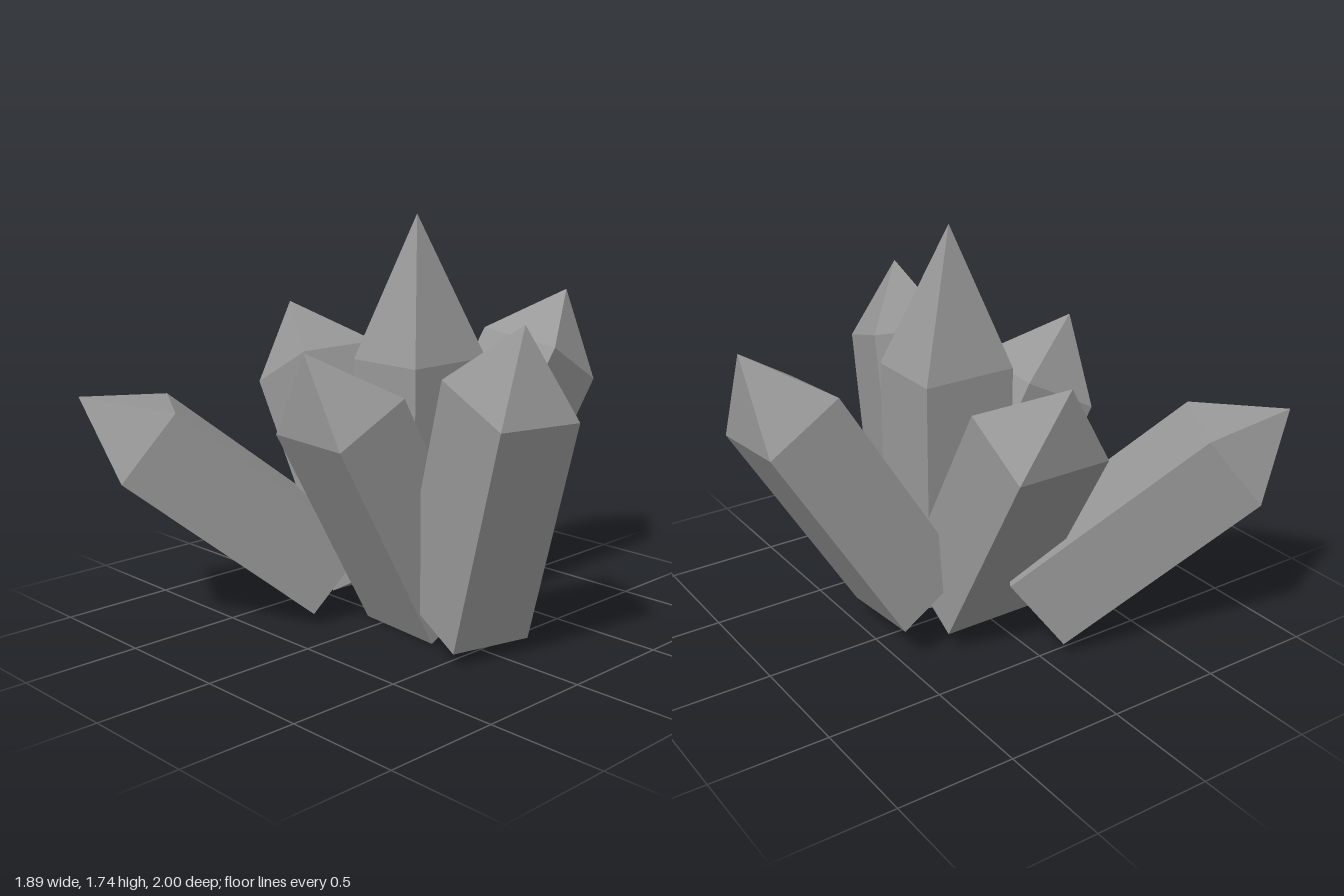
import * as THREE from 'three';

const stone = new THREE.MeshStandardMaterial({ color: 0x999999, flatShading: true });
stone.name = 'grey crystal';

// A rectangular prism with a pointed top.
// a, b, d: front left, front right and back left shoulder corners; tip: the point.
function crystal(name, a, b, d, tip, length = 1) {
  const [A, B, D, T] = [a, b, d, tip].map(p => new THREE.Vector3(...p));
  const axis = B.clone().sub(A).cross(D.clone().sub(A)).normalize();
  const C = B.clone().add(D).sub(A);
  const top = [A, B, C, D];
  const low = top.map(p => p.clone().addScaledVector(axis, -length));

  const tris = [low[0], low[3], low[2], low[0], low[2], low[1]]; // base cap
  for (let i = 0; i < 4; i++) {
    const j = (i + 1) % 4;
    tris.push(low[i], low[j], top[j], low[i], top[j], top[i]); // side
    tris.push(top[i], top[j], T); // point facet
  }
  const geometry = new THREE.BufferGeometry().setFromPoints(tris);
  geometry.computeVertexNormals();
  const mesh = new THREE.Mesh(geometry, stone);
  mesh.name = name;
  return mesh;
}

export function createModel() {
  const group = new THREE.Group();
  group.name = 'crystalCluster';
  group.add(
    // upright middle crystal
    crystal('centreCrystal', [-0.12, 1.14, 0.12], [0.24, 1.14, 0.12], [-0.12, 1.14, -0.3], [0.05, 1.74, -0.08]),
    // crystals leaning outward around it
    crystal('frontCrystal', [-0.14, 0.88, 0.53], [0.28, 0.88, 0.565], [-0.115, 1.05, 0.21], [0.07, 1.24, 0.56]),
    crystal('backCrystal', [-0.115, 1.19, -0.69], [0.305, 1.145, -0.68], [-0.135, 1.01, -1.0], [0.115, 1.36, -0.99]),
    crystal('leftCrystal', [0.46, 1.14, 0.2], [0.855, 1.01, 0.305], [0.55, 1.14, -0.145], [0.8, 1.38, 0.115]),
    crystal('rightCrystal', [-0.75, 0.96, 0.12], [-0.435, 1.135, 0.12], [-0.75, 0.96, -0.3], [-0.77, 1.305, -0.085]),
    crystal('frontRightCrystal', [-0.95, 0.67, 0.76], [-0.58, 0.67, 0.98], [-0.835, 0.955, 0.565], [-0.84, 1.0, 1.0])
  );
  return group;
}
